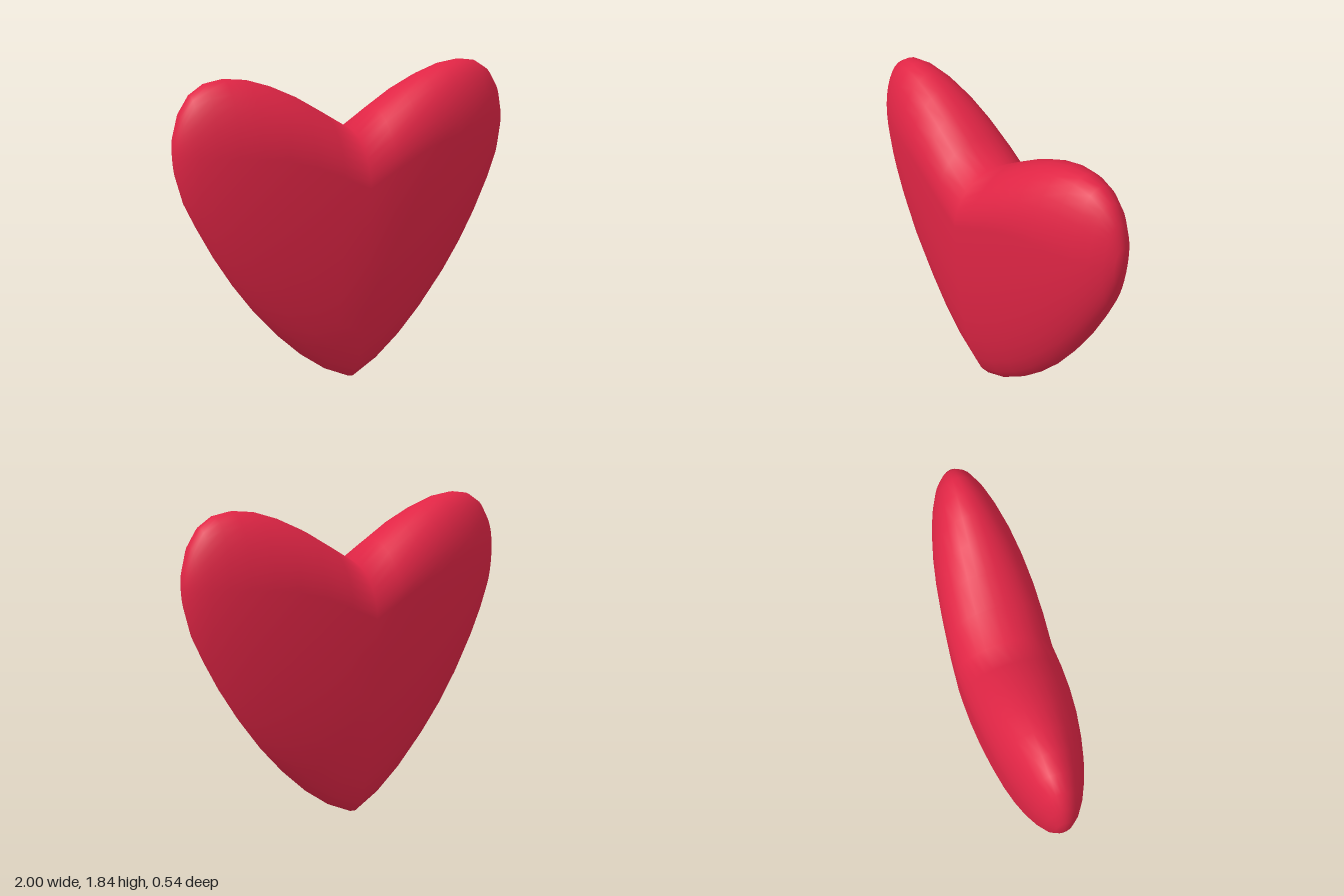
import * as THREE from 'three';

// Half outline from the centre line to the side, at equal angle steps (x = sin a)
const TOP = [1.51, 1.61, 1.705, 1.775, 1.82, 1.835, 1.82, 1.77, 1.685, 1.57, 1.47];
const BOTTOM = [0, 0.085, 0.21, 0.362, 0.53, 0.71, 0.89, 1.06, 1.2, 1.35, 1.47];
// Height at which each slice is thickest
const WIDEST = [1.23, 1.31, 1.38, 1.43, 1.45, 1.46, 1.465, 1.47, 1.47, 1.47, 1.47];
const DEPTH = 0.27;
const STEPS = TOP.length - 1;
const AROUND = 32;

// Loft of slices across x, each made of an upper and a lower half ellipse
function heartGeometry() {
  const positions = [-1, TOP[STEPS], 0];
  const index = [];
  const slices = STEPS * 2;

  for (let i = 1; i < slices; i++) {
    const k = Math.abs(i - STEPS);
    const a = ((i - STEPS) / STEPS) * Math.PI / 2;
    for (let j = 0; j < AROUND; j++) {
      const t = (j / AROUND) * Math.PI * 2;
      const s = Math.sin(t);
      const reach = s > 0 ? TOP[k] - WIDEST[k] : WIDEST[k] - BOTTOM[k];
      positions.push(Math.sin(a), WIDEST[k] + reach * s, DEPTH * Math.cos(a) * Math.cos(t));
    }
  }
  positions.push(1, TOP[STEPS], 0);

  // Slices at both ends shrink to a single point
  const last = positions.length / 3 - 1;
  const at = (i, j) => (i === 0 ? 0 : i === slices ? last : 1 + (i - 1) * AROUND + (j % AROUND));
  for (let i = 0; i < slices; i++) {
    for (let j = 0; j < AROUND; j++) {
      const a = at(i, j), b = at(i + 1, j), c = at(i + 1, j + 1), d = at(i, j + 1);
      if (b !== c) index.push(a, b, c);
      if (a !== d) index.push(a, c, d);
    }
  }

  const geometry = new THREE.BufferGeometry();
  geometry.setAttribute('position', new THREE.Float32BufferAttribute(positions, 3));
  geometry.setIndex(index);
  geometry.computeVertexNormals();
  return geometry;
}

export function createModel() {
  const model = new THREE.Group();
  model.name = 'heart';
  const body = new THREE.Mesh(heartGeometry(), new THREE.MeshStandardMaterial({ color: 0xe02545 }));
  body.name = 'heartBody';
  model.add(body);
  return model;
}
